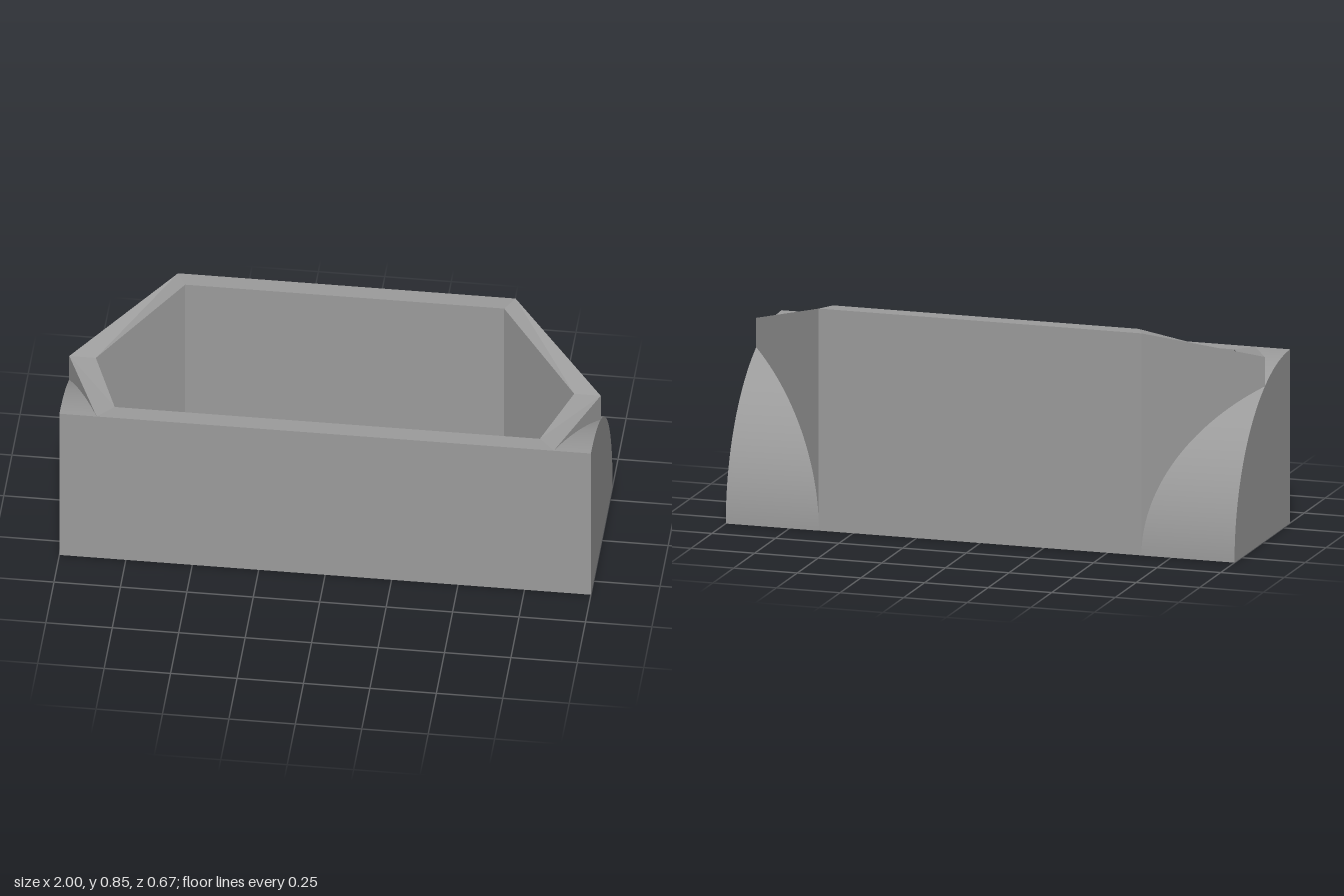
import * as THREE from 'three';

const R = 0.667, FRONT = 0.333, MID = 0.03;
const FLOOR = 0.2, TILT = 0.25; // dial floor: height at z = 0, and its fall towards the back
const grey = new THREE.MeshStandardMaterial({ color: 0x9b9b9b });

function add(parent, name, geometry) {
  const mesh = new THREE.Mesh(geometry, grey);
  mesh.name = name;
  parent.add(mesh);
  return mesh;
}

function addGroup(parent, name) {
  const group = new THREE.Group();
  group.name = name;
  parent.add(group);
  return group;
}

// Flat-shaded surface from four-cornered faces, corners counter-clockwise, split from a to c
function faces(quads) {
  const pos = [];
  for (const [a, b, c, d] of quads) pos.push(...a, ...b, ...c, ...a, ...c, ...d);
  const g = new THREE.BufferGeometry();
  g.setAttribute('position', new THREE.Float32BufferAttribute(pos, 3));
  g.computeVertexNormals();
  return g;
}

// Half outline [x, y, z] mirrored into a closed six-cornered ring
function ring(half) {
  return [...half, ...half.map(([x, y, z]) => [-x, y, z]).reverse()];
}

// Half-width of the hexagonal housing at depth z
const housingX = z => z > MID
  ? THREE.MathUtils.mapLinear(z, MID, FRONT, 1, 0.86)
  : THREE.MathUtils.mapLinear(z, MID, -FRONT, 1, 0.635);

// Quarter-round profile [z, y] from the top front to the bottom back
function quarterRound() {
  const mid = Math.asin((FRONT - MID) / R), pts = [];
  for (let i = 0; i <= 16; i++) pts.push(mid * i / 16);
  for (let i = 1; i <= 40; i++) pts.push(mid + (Math.PI / 2 - mid) * i / 40);
  return pts.map(a => [FRONT - R * Math.sin(a), R * Math.cos(a)]);
}

// Curved shoulder between the housing and the end of the body
function shoulder(side) {
  const arc = quarterRound(), pos = [], index = [];
  arc.forEach(([z, y], i) => {
    const h = housingX(z);
    pos.push(side > 0 ? h : -1, y, z, side > 0 ? 1 : -h, y, z);
    if (i < arc.length - 1) {
      const k = 2 * i;
      index.push(k, k + 1, k + 3, k, k + 3, k + 2);
    }
  });
  const g = new THREE.BufferGeometry();
  g.setAttribute('position', new THREE.Float32BufferAttribute(pos, 3));
  g.setIndex(index);
  g.computeVertexNormals();
  return g;
}

function endPanel(side) {
  const shape = new THREE.Shape();
  shape.moveTo(-side * FRONT, 0);
  for (const [z, y] of quarterRound()) shape.lineTo(-side * z, y);
  return new THREE.ShapeGeometry(shape).rotateY(side * Math.PI / 2).translate(side, 0, 0);
}

// Raised block standing on the dial floor
function marker(parent, name, x, z, w, l, turn = 0) {
  const block = add(parent, name, new THREE.BoxGeometry(w, 0.05, l));
  block.position.set(x, 0.02, z);
  block.rotation.y = turn;
}

export function createModel() {
  const model = new THREE.Group();
  model.name = 'instrumentPanel';

  // Body with rounded shoulders
  const body = addGroup(model, 'body');
  add(body, 'frontPanel', faces([[[-1, 0, FRONT], [1, 0, FRONT], [1, R, FRONT], [-1, R, FRONT]]]));
  add(body, 'base', faces([[[-1, 0, -FRONT], [1, 0, -FRONT], [1, 0, FRONT], [-1, 0, FRONT]]]));
  for (const side of [1, -1]) {
    const word = side > 0 ? 'left' : 'right';
    add(body, word + 'Shoulder', shoulder(side));
    add(body, word + 'EndPanel', endPanel(side));
  }

  // Hexagonal housing: outer walls, sloping rim, inner walls, sloping floor
  const outer = ring([[0.86, R, FRONT], [1, 0.707, MID], [0.635, 0.853, -FRONT]]);
  const inner = ring([[0.8, R, 0.267], [0.9, 0.707, MID], [0.6, 0.853, -0.267]]);
  const foot = outer.map(([x, , z]) => [x, 0, z]);
  const low = inner.map(([x, , z]) => [x, FLOOR + z * Math.tan(TILT), z]);
  const walls = [], rim = [], lining = [];
  for (let i = 0; i < 6; i++) {
    const j = (i + 1) % 6;
    if (i < 5) walls.push([foot[i], foot[j], outer[j], outer[i]]);
    // the split of the rim faces is mirrored left to right
    rim.push(i < 3 ? [outer[j], inner[j], inner[i], outer[i]] : [outer[i], outer[j], inner[j], inner[i]]);
    lining.push([low[j], low[i], inner[i], inner[j]]);
  }
  const housing = addGroup(model, 'housing');
  add(housing, 'outerWalls', faces(walls));
  add(housing, 'rim', faces(rim));
  add(housing, 'innerWalls', faces(lining));
  add(housing, 'dialFloor', faces([
    [low[0], low[1], low[4], low[5]], [low[1], low[2], low[3], low[4]]]));

  // Everything on the floor shares its slope
  const cluster = addGroup(model, 'gaugeCluster');
  cluster.position.y = FLOOR;
  cluster.rotation.x = -TILT;

  // Main dial: marks along an elliptical arc, half-sunk pivot and needle
  const dial = addGroup(cluster, 'dial');
  for (let i = -5; i <= 5; i++) {
    const a = i * 0.232;
    marker(dial, 'dialMark', 0.441 * Math.sin(a), 0.18 - 0.32 * Math.cos(a), 0.048, 0.12, -a);
  }
  const pivot = add(dial, 'pivot', new THREE.CylinderGeometry(0.065, 0.065, 0.04, 32));
  pivot.position.set(0, -0.018, 0.175);
  pivot.rotation.x = -0.2;
  const needle = add(dial, 'needle', new THREE.ConeGeometry(0.014, 0.24, 12));
  needle.rotation.x = -Math.PI / 2;
  needle.position.set(0, 0.02, 0.06);

  // Side gauges: two columns of bars around a slim indicator
  for (const side of [1, -1]) {
    const gauge = addGroup(cluster, side > 0 ? 'leftGauge' : 'rightGauge');
    for (let row = 0; row < 5; row++)
      for (const dx of [-0.056, 0.056])
        marker(gauge, 'gaugeBar', side * 0.6 + dx, -0.055 + row * 0.059, 0.054, 0.032);
    marker(gauge, 'gaugeIndicator', side * 0.6, 0.103, 0.027, 0.175);
  }
  return model;
}
